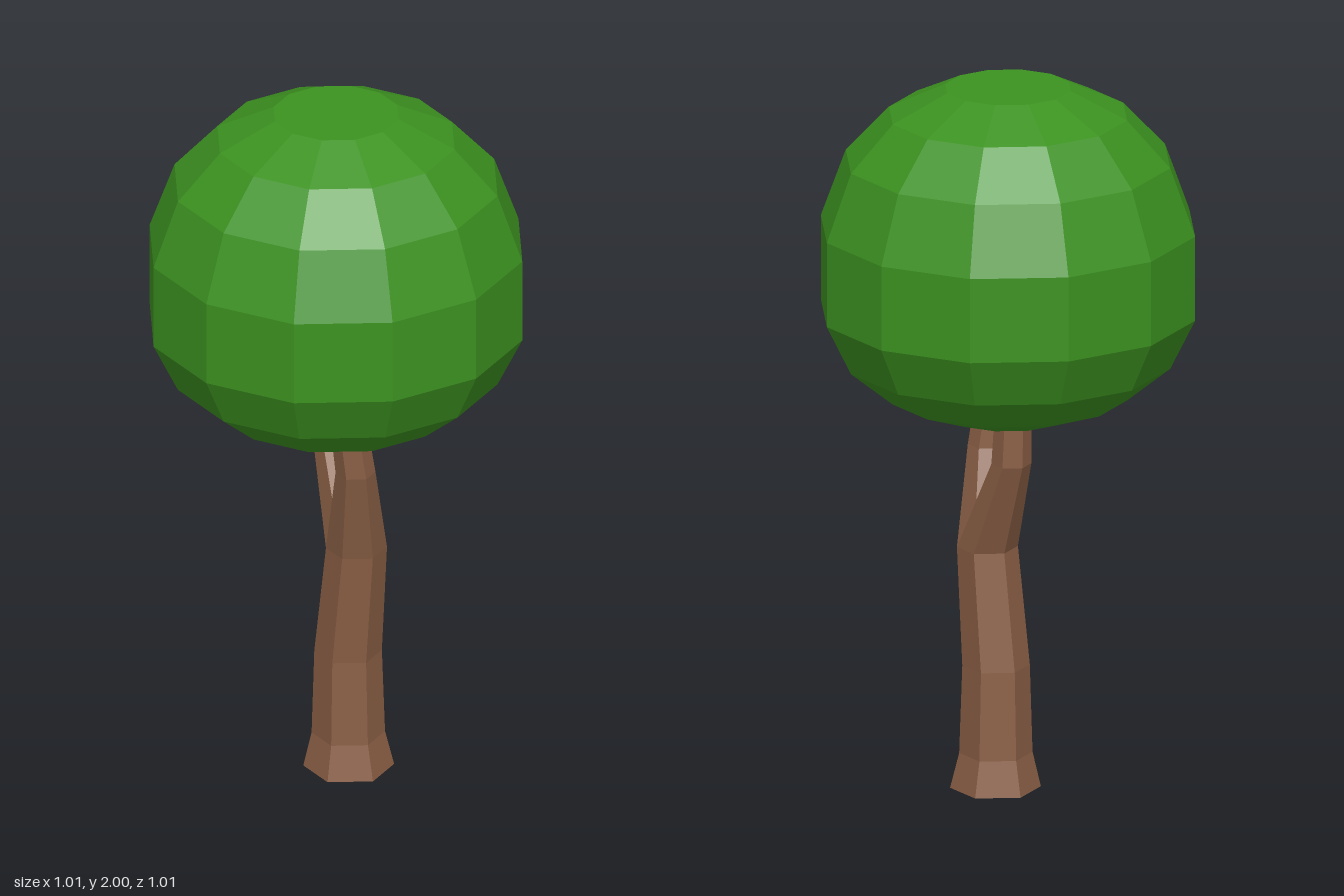
import * as THREE from 'three';

const SIDES = 6;
const bark = new THREE.MeshStandardMaterial({ color: 0x8a5f45, flatShading: true });
const leaf = new THREE.MeshStandardMaterial({ color: 0x3c9220, flatShading: true });

function addMesh(group, name, geometry, material) {
  const flat = geometry.toNonIndexed();
  flat.computeVertexNormals();
  const mesh = new THREE.Mesh(flat, material);
  mesh.name = name;
  group.add(mesh);
}

// Skin over horizontal hexagons, each given as [y, centre x, centre z, radius]
function limb(rings) {
  const pos = [], index = [];
  for (const [y, cx, cz, r] of rings) {
    for (let i = 0; i < SIDES; i++) {
      const a = (i / SIDES) * Math.PI * 2;
      pos.push(cx + r * Math.sin(a), y, cz + r * Math.cos(a));
    }
  }
  for (let k = 0; k < rings.length - 1; k++) {
    for (let i = 0; i < SIDES; i++) {
      const a = k * SIDES + i, b = k * SIDES + (i + 1) % SIDES;
      index.push(a, b, b + SIDES, a, b + SIDES, a + SIDES);
    }
  }
  // end caps
  const top = (rings.length - 1) * SIDES;
  for (let i = 1; i < SIDES - 1; i++) {
    index.push(0, i + 1, i, top, top + i, top + i + 1);
  }
  const geometry = new THREE.BufferGeometry();
  geometry.setAttribute('position', new THREE.Float32BufferAttribute(pos, 3));
  geometry.setIndex(index);
  return geometry;
}

export function createModel() {
  const tree = new THREE.Group();
  tree.name = 'tree';

  // Trunk with flared foot, running on into the front branch
  const fork = [0.68, 0.04, 0.042, 0.084];
  addMesh(tree, 'trunkAndFrontBranch', limb([
    [0, 0.04, 0.002, 0.125],
    [0.1, 0.04, 0, 0.101],
    [0.35, 0.038, 0.002, 0.093],
    fork,
    [0.95, -0.006, 0.11, 0.055],
    [1.12, -0.028, 0.104, 0.05],
  ]), bark);

  // Back branch leaving the trunk at the fork
  addMesh(tree, 'backBranch', limb([
    fork,
    [0.95, 0.045, -0.085, 0.055],
    [1.12, 0.042, -0.09, 0.05],
  ]), bark);

  // Twelve-sided faceted crown, flat at the top and bottom
  const profile = [
    [0, 1.065], [0.176, 1.065], [0.334, 1.122], [0.455, 1.22], [0.525, 1.362],
    [0.525, 1.603], [0.455, 1.795], [0.334, 1.925], [0.176, 2], [0, 2],
  ].map(([r, y]) => new THREE.Vector2(r, y));
  addMesh(tree, 'crown', new THREE.LatheGeometry(profile, 12, Math.PI / 12), leaf);

  return tree;
}
